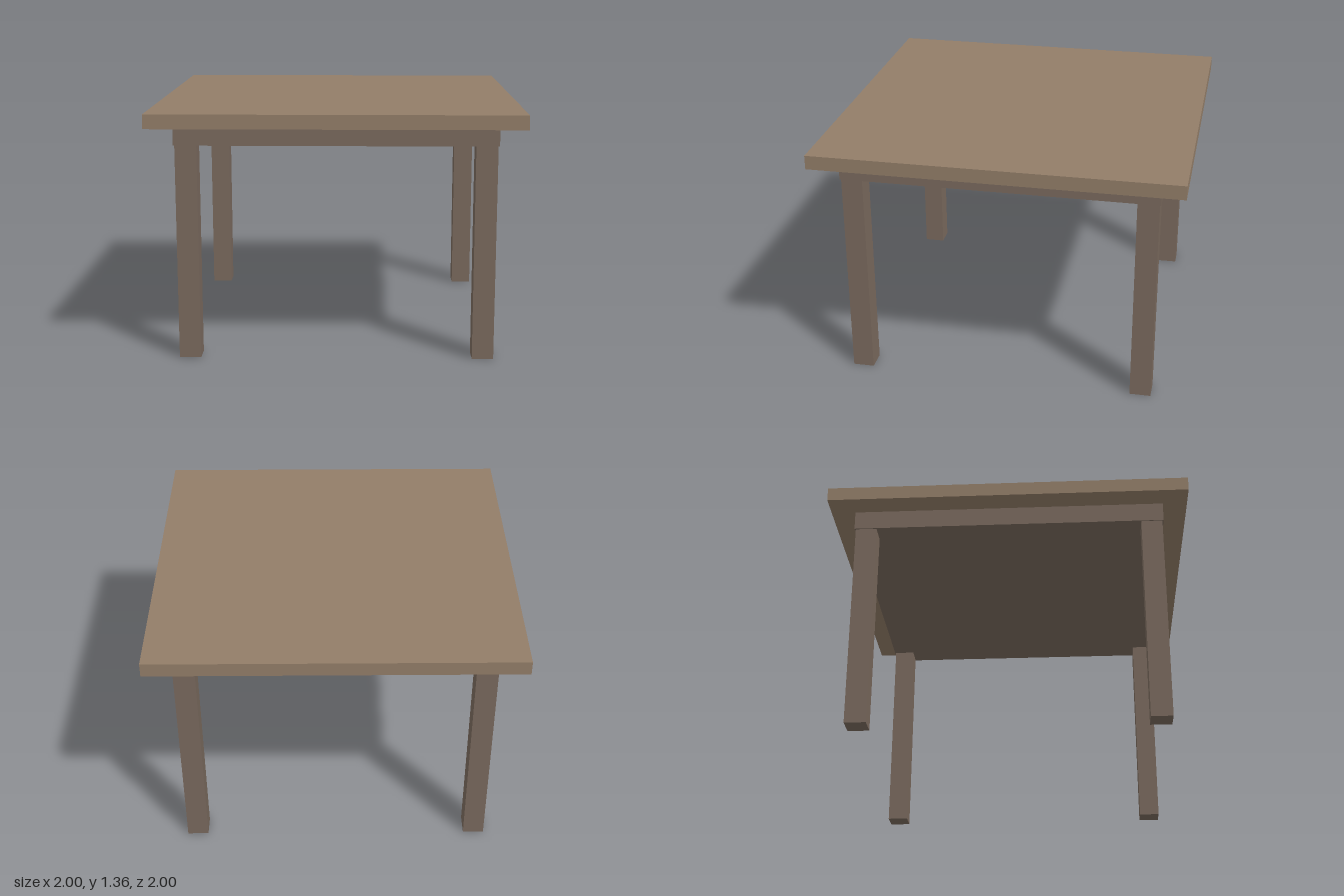
import * as THREE from 'three';

export function createModel() {
  const table = new THREE.Group();
  table.name = 'table';
  const topWood = new THREE.MeshStandardMaterial({ color: 0x927d68 });
  const baseWood = new THREE.MeshStandardMaterial({ color: 0x79695d });

  // Square block spanning from y0 to y1
  function block(name, width, y0, y1, x, z, material) {
    const mesh = new THREE.Mesh(new THREE.BoxGeometry(width, y1 - y0, width), material);
    mesh.name = name;
    mesh.position.set(x, (y0 + y1) / 2, z);
    table.add(mesh);
  }

  // Top slab, and the solid apron block beneath it
  block('tabletop', 2, 1.283, 1.36, 0, 0, topWood);
  block('apron', 1.73, 1.176, 1.283, 0, 0, baseWood);

  // Four square legs, set just inside the apron corners
  for (const [side, x] of [['Left', 0.8], ['Right', -0.8]]) {
    for (const [end, z] of [['front', 0.8], ['back', -0.8]]) {
      block(`${end}${side}Leg`, 0.117, 0, 1.176, x, z, baseWood);
    }
  }
  return table;
}
